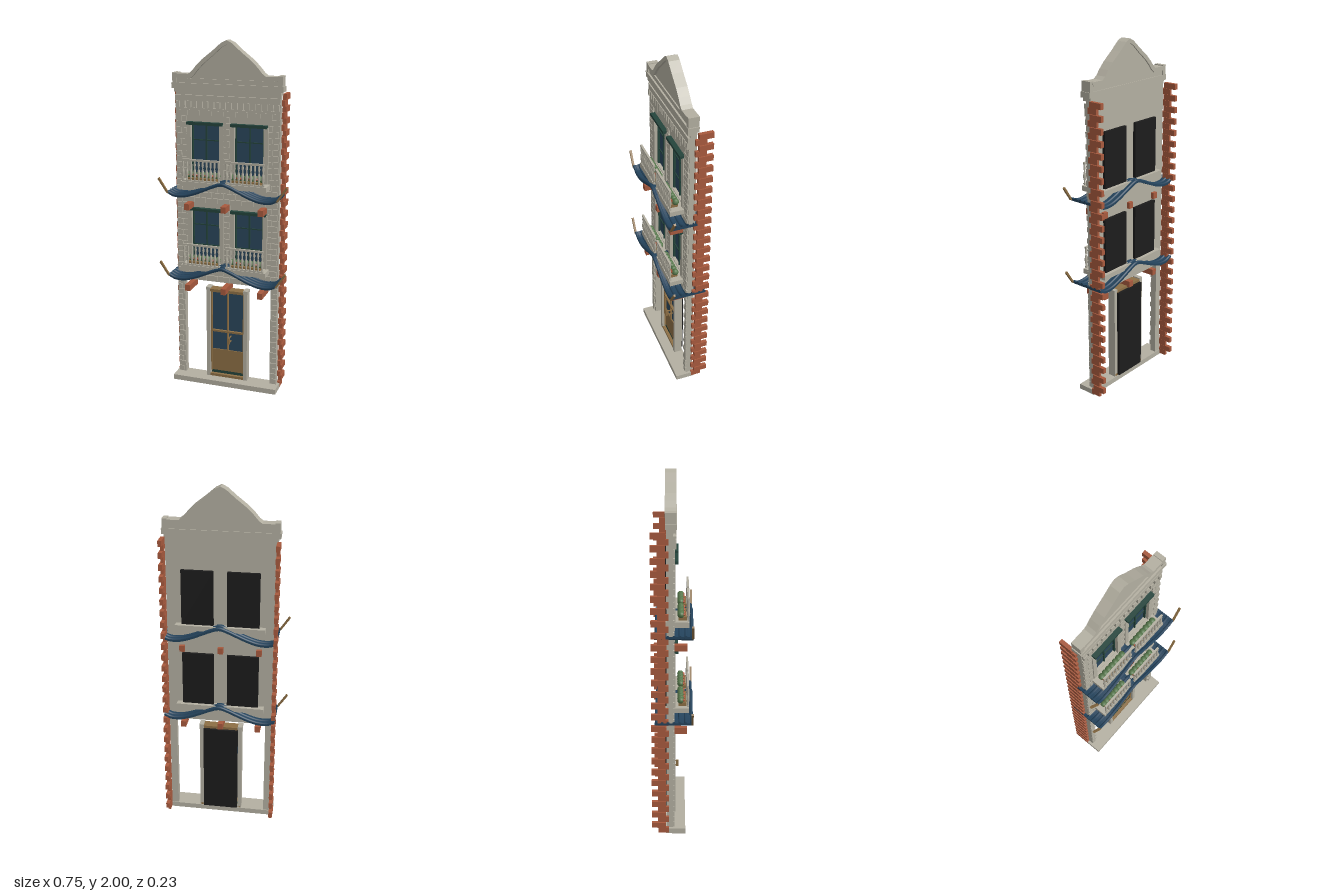
import * as THREE from 'three';
import { mergeGeometries } from 'three/addons/utils/BufferGeometryUtils.js';

export function createModel() {
  const model = new THREE.Group();
  model.name = 'townhouseFacade';
  const mat = (name, color) => {
    const m = new THREE.MeshStandardMaterial({ color });
    m.name = name;
    return m;
  };
  const stone = mat('stone', 0xb3afa1);
  const brick = mat('brick', 0xa85a3e);
  const tile = mat('blueTile', 0x24435c);
  const glass = mat('glass', 0x2b465c);
  const green = mat('darkGreen', 0x24443c);
  const leaf = mat('leaf', 0x55764a);
  const wood = mat('wood', 0x8d6f45);
  const black = mat('blackBacking', 0x1c1c1c);
  const flower = mat('flower', 0xb0553a);

  const add = (name, geo, m, parent = model) => {
    const mesh = new THREE.Mesh(geo, m);
    mesh.name = name;
    parent.add(mesh);
    return mesh;
  };
  // Box given by its limits on each axis
  const block = (x0, x1, y0, y1, z0, z1) =>
    new THREE.BoxGeometry(x1 - x0, y1 - y0, z1 - z0)
      .translate((x0 + x1) / 2, (y0 + y1) / 2, (z0 + z1) / 2);
  const box = (name, m, lim, parent) => add(name, block(...lim), m, parent);
  const rectPath = (x0, x1, y0, y1, Type = THREE.Path) => {
    const p = new Type();
    p.moveTo(x0, y0).lineTo(x1, y0).lineTo(x1, y1).lineTo(x0, y1).closePath();
    return p;
  };
  const extrude = (shape, z0, z1) =>
    new THREE.ExtrudeGeometry(shape, { depth: z1 - z0, bevelEnabled: false }).translate(0, 0, z0);

  const floors = [0, 0.49]; // vertical offset of each upper storey

  // Wall plate with window openings, standing on two ground floor piers
  const wall = new THREE.Shape();
  [[-0.3, 0.03], [-0.26, 0.03], [-0.26, 0.625], [0.26, 0.625], [0.26, 0.03], [0.3, 0.03], [0.3, 1.72], [-0.3, 1.72]]
    .forEach(([x, y], i) => (i ? wall.lineTo(x, y) : wall.moveTo(x, y)));
  for (const f of floors) for (const s of [-1, 1]) {
    wall.holes.push(rectPath(s * 0.127 - 0.085, s * 0.127 + 0.085, 0.745 + f, 1.05 + f));
  }
  add('wall', extrude(wall, -0.03, 0.006), stone);

  // Staggered stone facing, clipped around the windows
  const facing = [];
  const rowH = 0.033;
  for (let r = 0, y = 0.63; y < 1.61; r++, y += rowH) {
    const atWindow = floors.some(f => y + rowH > 0.74 + f && y < 1.065 + f);
    const spans = atWindow ? [[-0.3, -0.238], [-0.018, 0.018], [0.238, 0.3]] : [[-0.3, 0.3]];
    for (let x = -0.335 + (r % 2) * 0.035; x < 0.3; x += 0.07) {
      for (const [a, b] of spans) {
        const x0 = Math.max(a, x + 0.002), x1 = Math.min(b, x + 0.068);
        if (x1 - x0 > 0.006) facing.push(block(x0, x1, y + 0.002, y + rowH - 0.002, 0, 0.014));
      }
    }
  }
  for (let r = 0; r < 18; r++) for (const s of [-1, 1]) {
    const inner = r % 2 ? 0.262 : 0.275, y = 0.035 + r * rowH;
    const lim = s > 0 ? [inner, 0.3] : [-0.3, -inner];
    facing.push(block(...lim, y, y + rowH - 0.003, 0, 0.014));
  }
  add('stoneFacing', mergeGeometries(facing), stone);

  // Toothed brick edges on both sides
  const teeth = [];
  for (let r = 0; r < 52; r++) for (const s of [-1, 1]) {
    const long = r % 2 === 1;
    const lim = s > 0 ? [0.3, long ? 0.321 : 0.316] : [long ? -0.321 : -0.316, -0.3];
    teeth.push(block(...lim, 0.006 + r * rowH, 0.005 + (r + 1) * rowH, long ? -0.113 : -0.078, long ? -0.035 : -0.018));
  }
  add('brickEdges', mergeGeometries(teeth), brick);

  // Base step
  box('baseStep', stone, [-0.315, 0.315, 0, 0.03, -0.035, 0.075]);

  // Frieze, dentils and cornice
  box('frieze', stone, [-0.3, 0.3, 1.668, 1.70, 0, 0.018]);
  box('dentilBand', stone, [-0.3, 0.3, 1.615, 1.63, 0, 0.012]);
  const dentils = [];
  for (let i = 0; i < 18; i++) {
    const x = -0.285 + i * 0.57 / 17;
    dentils.push(block(x - 0.01, x + 0.01, 1.632, 1.668, 0, 0.022));
  }
  add('dentils', mergeGeometries(dentils), stone);
  box('corniceLower', stone, [-0.305, 0.305, 1.715, 1.735, -0.03, 0.02]);
  box('corniceUpper', stone, [-0.318, 0.318, 1.735, 1.765, -0.035, 0.025]);
  box('attic', stone, [-0.3, 0.3, 1.765, 1.79, -0.03, 0.015]);

  // Gabled parapet: recessed panel and a raised coping along its outline
  const gable = [[0.3, 1.815], [0.22, 1.815], [0.2, 1.83], [0.175, 1.86], [0.14, 1.895], [0.08, 1.942], [0.03, 1.985], [0, 2]];
  const outline = [...gable, ...gable.slice(0, -1).reverse().map(([x, y]) => [-x, y])];
  const panel = new THREE.Shape([[0.3, 1.76], ...outline, [-0.3, 1.76]].map(([x, y]) => new THREE.Vector2(x, y - 0.004)));
  add('parapetPanel', extrude(panel, -0.03, 0.008), stone);
  const coping = new THREE.Shape([...outline, ...[...outline].reverse().map(([x, y]) => [x * 0.95, y - 0.024])]
    .map(([x, y]) => new THREE.Vector2(x, y)));
  add('parapetCoping', extrude(coping, -0.038, 0.022), stone);
  for (const s of [-1, 1]) {
    box('parapetEnd', stone, [s * 0.3 - 0.013, s * 0.3 + 0.013, 1.765, 1.82, -0.036, 0.022]);
  }

  // Red beam ends above the ground floor and first floor
  for (const y of [0.597, 1.08]) for (const x of [-0.216, 0, 0.216]) {
    box('beamEnd', brick, [x - 0.015, x + 0.015, y - 0.018, y + 0.018, -0.05, 0.083]);
  }

  // Door with stone jambs, glazing and wooden rails
  const door = new THREE.Group();
  door.name = 'door';
  model.add(door);
  box('doorBacking', black, [-0.1, 0.1, 0.035, 0.57, -0.045, -0.018], door);
  box('doorGlass', glass, [-0.1, 0.1, 0.19, 0.565, -0.018, -0.01], door);
  box('doorPanel', wood, [-0.1, 0.1, 0.062, 0.198, -0.018, -0.004], door);
  box('doorKick', green, [-0.1, 0.1, 0.045, 0.062, -0.018, -0.004], door);
  box('doorSill', wood, [-0.12, 0.12, 0.03, 0.045, -0.03, 0.015], door);
  box('doorMidRail', wood, [-0.1, 0.1, 0.312, 0.323, -0.012, 0.004], door);
  box('doorTopRail', wood, [-0.1, 0.1, 0.56, 0.572, -0.012, 0.004], door);
  box('doorMullion', wood, [-0.004, 0.004, 0.195, 0.57, -0.012, 0.002], door);
  box('doorHandle', wood, [0.015, 0.023, 0.255, 0.295, 0.022, 0.036], door);
  for (const y of [0.26, 0.288]) box('handlePost', wood, [0.016, 0.022, y, y + 0.005, -0.01, 0.024], door);
  for (const s of [-1, 1]) {
    box('doorJamb', stone, [s * 0.113 - 0.011, s * 0.113 + 0.011, 0.03, 0.575, -0.03, 0.018], door);
    box('doorStile', wood, [s * 0.098 - 0.004, s * 0.098 + 0.004, 0.06, 0.57, -0.012, 0.004], door);
    box('jambCap', stone, [s * 0.113 - 0.013, s * 0.113 + 0.013, 0.575, 0.592, -0.03, 0.022], door);
  }
  box('doorLintel', wood, [-0.1, 0.1, 0.57, 0.585, -0.03, 0.025], door);

  // Baluster profile
  const balusterGeo = new THREE.LatheGeometry(
    [[0.006, 0], [0.004, 0.015], [0.009, 0.04], [0.007, 0.06], [0.003, 0.075], [0.007, 0.09], [0.004, 0.115]]
      .map(([x, y]) => new THREE.Vector2(x, y)), 8);

  // One window with its planter and balustrade, centred on x = 0
  const makeBay = () => {
    const bay = new THREE.Group();
    bay.name = 'windowBay';
    box('windowBacking', black, [-0.089, 0.089, 0.74, 1.053, -0.047, -0.026], bay);
    box('windowGlass', glass, [-0.085, 0.085, 0.745, 1.05, -0.026, -0.012], bay);
    const bars = [block(-0.004, 0.004, 0.745, 1.05, -0.014, -0.004)];
    for (const y of [0.84, 0.96]) bars.push(block(-0.08, 0.08, y - 0.003, y + 0.003, -0.014, -0.006));
    for (const s of [-1, 1]) {
      bars.push(block(s * 0.08 - 0.004, s * 0.08 + 0.004, 0.745, 1.05, -0.014, 0));
      box('windowJamb', stone, [s * 0.096 - 0.013, s * 0.096 + 0.013, 0.74, 1.05, -0.01, 0.018], bay);
    }
    add('windowBars', mergeGeometries(bars), green, bay);
    box('windowLintel', green, [-0.103, 0.103, 1.048, 1.064, -0.01, 0.033], bay);

    box('planter', wood, [-0.085, 0.085, 0.74, 0.76, 0.035, 0.078], bay);
    for (let i = 0; i < 7; i++) {
      const x = -0.081 + i * 0.027;
      const bush = add('bush', new THREE.IcosahedronGeometry(0.019, 1), leaf, bay);
      bush.position.set(x, 0.772, 0.047);
      const bloom = add('bloom', new THREE.IcosahedronGeometry(0.0085, 0), flower, bay);
      bloom.position.set(x + (i % 2 ? 0.005 : -0.005), 0.774, 0.063);
    }
    box('topRail', stone, [-0.11, 0.11, 0.857, 0.868, 0.081, 0.093], bay);
    box('bottomRail', stone, [-0.11, 0.11, 0.742, 0.75, 0.081, 0.093], bay);
    for (let i = 0; i < 10; i++) {
      add('baluster', balusterGeo, stone, bay).position.set(-0.104 + i * 0.208 / 9, 0.745, 0.087);
    }
    return bay;
  };

  // Swooping tiled roof: thin sheet with rolls following its curve
  const half = [[0, 0.742], [0.05, 0.727], [0.1, 0.705], [0.16, 0.68], [0.22, 0.663], [0.28, 0.663], [0.318, 0.68]];
  const curve = new THREE.CatmullRomCurve3(
    [...half.slice(1).reverse().map(([x, y]) => [-x, y]), ...half].map(([x, y]) => new THREE.Vector3(x, y, 0)));
  const pts = curve.getPoints(40);
  const sheet = new THREE.Shape([
    ...pts.map(p => new THREE.Vector2(p.x, p.y - 0.01)),
    ...[...pts].reverse().map(p => new THREE.Vector2(p.x, p.y + 0.002))]);
  const sheetGeo = extrude(sheet, -0.095, 0.112);
  const rollGeo = new THREE.TubeGeometry(curve, 40, 0.009, 8);
  const rollCap = new THREE.CircleGeometry(0.009, 8);

  for (const f of floors) {
    const storey = new THREE.Group();
    storey.name = 'upperStorey';
    storey.position.y = f;
    model.add(storey);
    for (const s of [-1, 1]) {
      const bay = makeBay();
      bay.position.x = s * 0.127;
      storey.add(bay);
      // Upturned wooden horn at each front corner
      const horn = new THREE.Shape([[0.31, 0.672], [0.322, 0.672], [0.374, 0.748], [0.366, 0.757]]
        .map(([x, y]) => new THREE.Vector2(s * x, y)));
      add('roofHorn', extrude(horn, 0.104, 0.116), wood, storey);
    }
    box('balconySlab', stone, [-0.25, 0.25, 0.712, 0.74, -0.068, 0.092], storey);
    add('roofSheet', sheetGeo, tile, storey);
    for (let i = 0; i < 7; i++) {
      const z = -0.086 + i * 0.032;
      add('roofRoll', rollGeo, tile, storey).position.z = z;
      for (const s of [-1, 1]) {
        const cap = add('roofRollEnd', rollCap, tile, storey);
        cap.position.set(s * 0.318, 0.68, z);
        cap.rotation.set(0, s * Math.PI / 2, 0);
      }
    }
  }
  return model;
}
